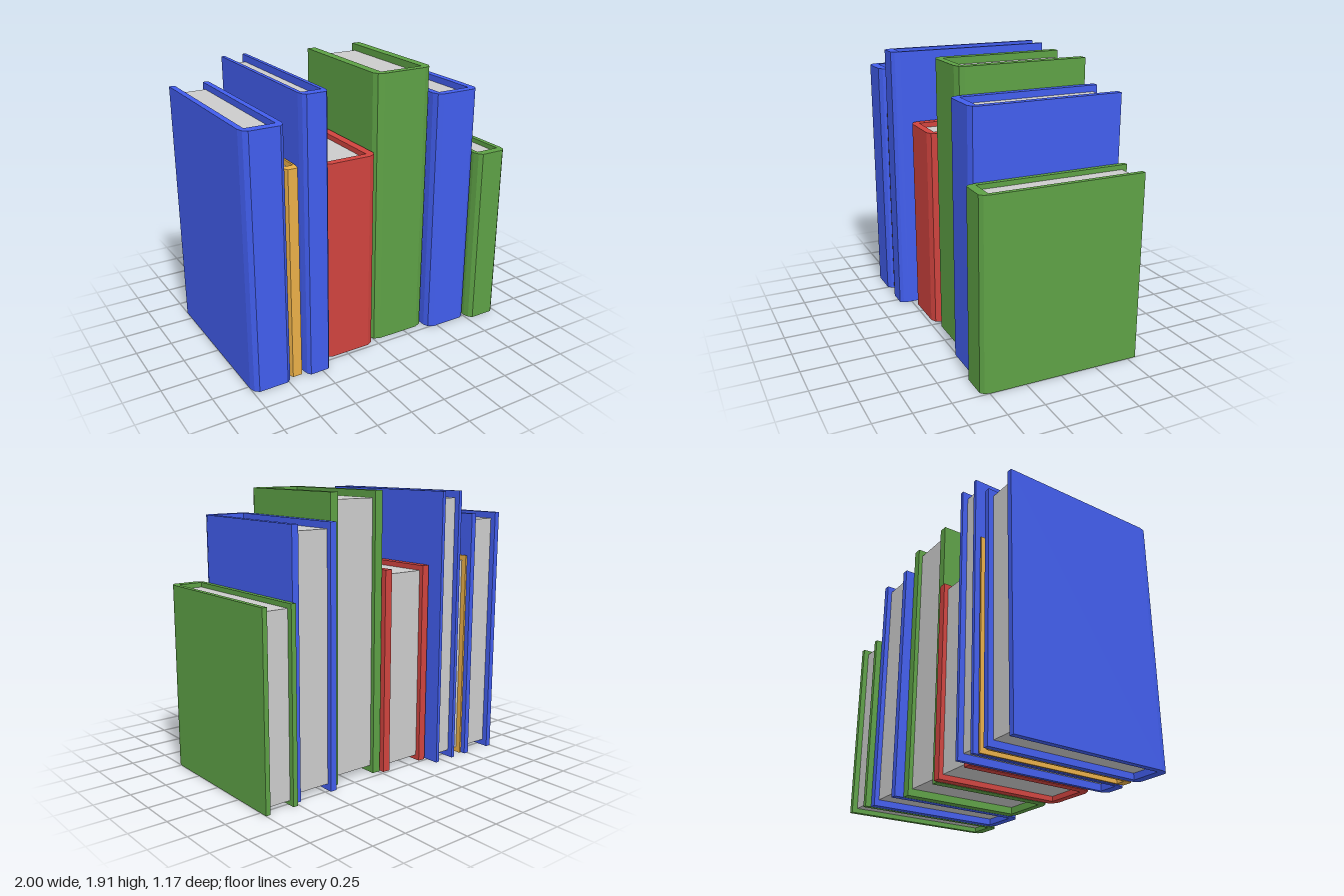
import * as THREE from 'three';

const BLUE = 0x415dec, GREEN = 0x5da045, RED = 0xcf433e, OCHRE = 0xe8ae48;

// left edge, right edge, height, back z, front z, colour
const BOOKS = [
  [-1.0, -0.72, 1.74, -0.59, 0.585, BLUE],
  [-0.715, -0.625, 1.45, -0.56, 0.55, OCHRE],
  [-0.612, -0.43, 1.9, -0.59, 0.585, BLUE],
  [-0.415, -0.02, 1.4, -0.485, 0.475, RED],
  [-0.012, 0.417, 1.915, -0.455, 0.445, GREEN],
  [0.42, 0.757, 1.74, -0.52, 0.51, BLUE],
  [0.762, 1.0, 1.28, -0.56, 0.555, GREEN],
];

function createBook([x0, x1, height, back, front, color]) {
  const book = new THREE.Group();
  book.name = 'book';
  const w = (x1 - x0) / 2, depth = front - back;
  const board = 0.14 * (x1 - x0);   // cover board thickness
  const spine = front - 0.055 * depth; // inner face of the spine
  const inner = w - board;

  // U-shaped cover: right half of the outline, mirrored for the left
  const half = [
    [inner, spine], [inner, back], [w, back],
    [w, spine], [w - board * 0.3, front - 0.02 * depth], [w - board, front],
  ];
  const outline = [...half, ...half.map(([x, z]) => [-x, z]).reverse()];
  const shape = new THREE.Shape(outline.map(([x, z]) => new THREE.Vector2(x, -z)));
  const coverGeo = new THREE.ExtrudeGeometry(shape, { depth: height, bevelEnabled: false });
  coverGeo.rotateX(-Math.PI / 2);
  const cover = new THREE.Mesh(coverGeo, new THREE.MeshStandardMaterial({ color }));
  cover.name = 'cover';

  // page block, recessed at the top, bottom and open edge
  const inset = 0.025 * height, pageBack = back + 0.033 * depth;
  const pages = new THREE.Mesh(
    new THREE.BoxGeometry(inner * 2, height - inset * 2, spine - pageBack),
    new THREE.MeshStandardMaterial({ color: 0xcccccc })
  );
  pages.name = 'pages';
  pages.position.set(0, height / 2, (spine + pageBack) / 2);

  book.add(cover, pages);
  book.position.x = (x0 + x1) / 2;
  return book;
}

export function createModel() {
  const group = new THREE.Group();
  group.name = 'bookRow';
  for (const spec of BOOKS) group.add(createBook(spec));
  return group;
}
